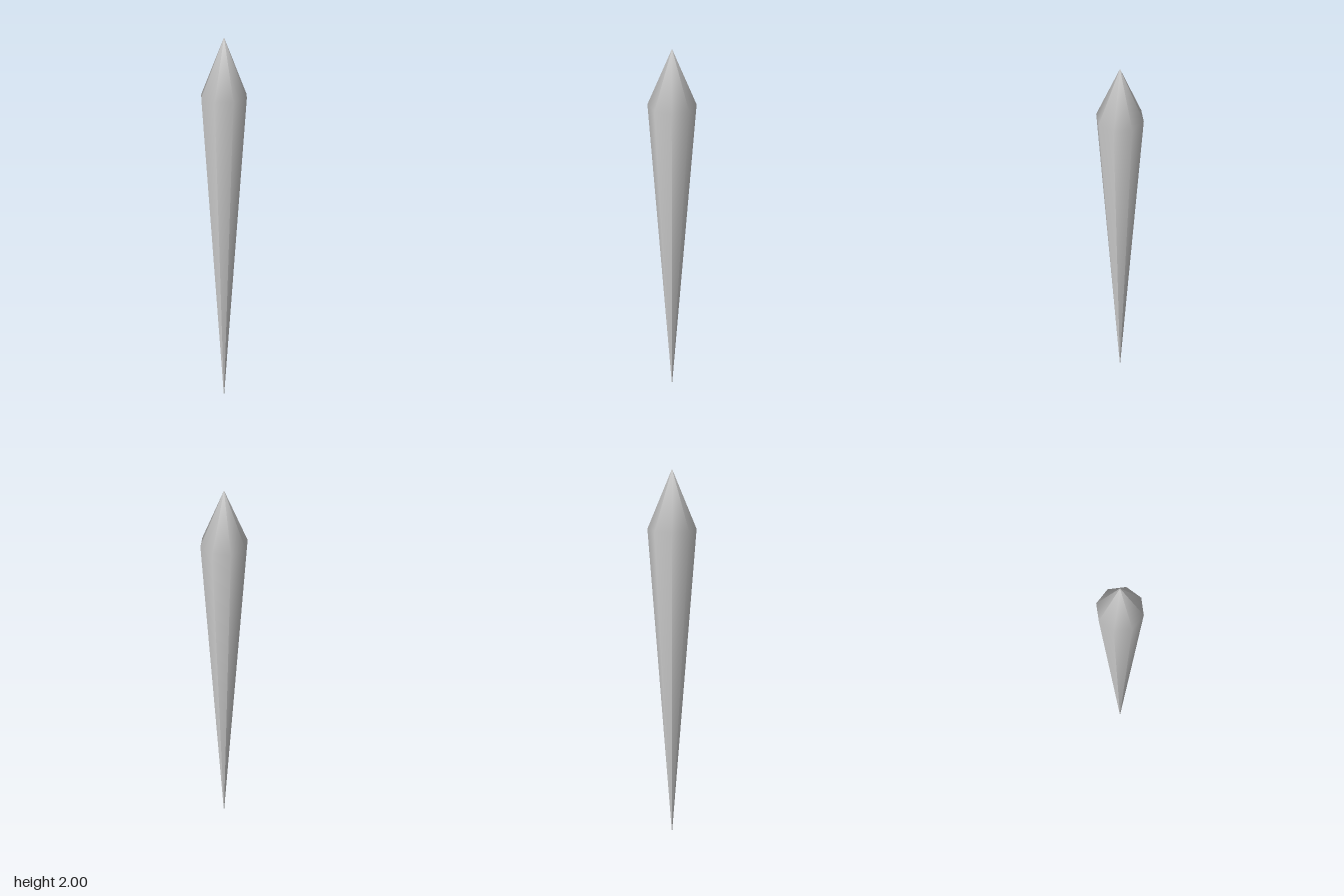
import * as THREE from 'three';

export function createModel() {
  const group = new THREE.Group();
  group.name = 'spike';

  // Eight-sided double-pointed shard: long taper below, short point above
  const profile = [
    new THREE.Vector2(0, 0),
    new THREE.Vector2(0.133, 1.67),
    new THREE.Vector2(0, 2),
  ];
  const shard = new THREE.Mesh(
    new THREE.LatheGeometry(profile, 8),
    new THREE.MeshStandardMaterial({ color: 0xcccccc })
  );
  shard.name = 'shard';
  group.add(shard);

  return group;
}
